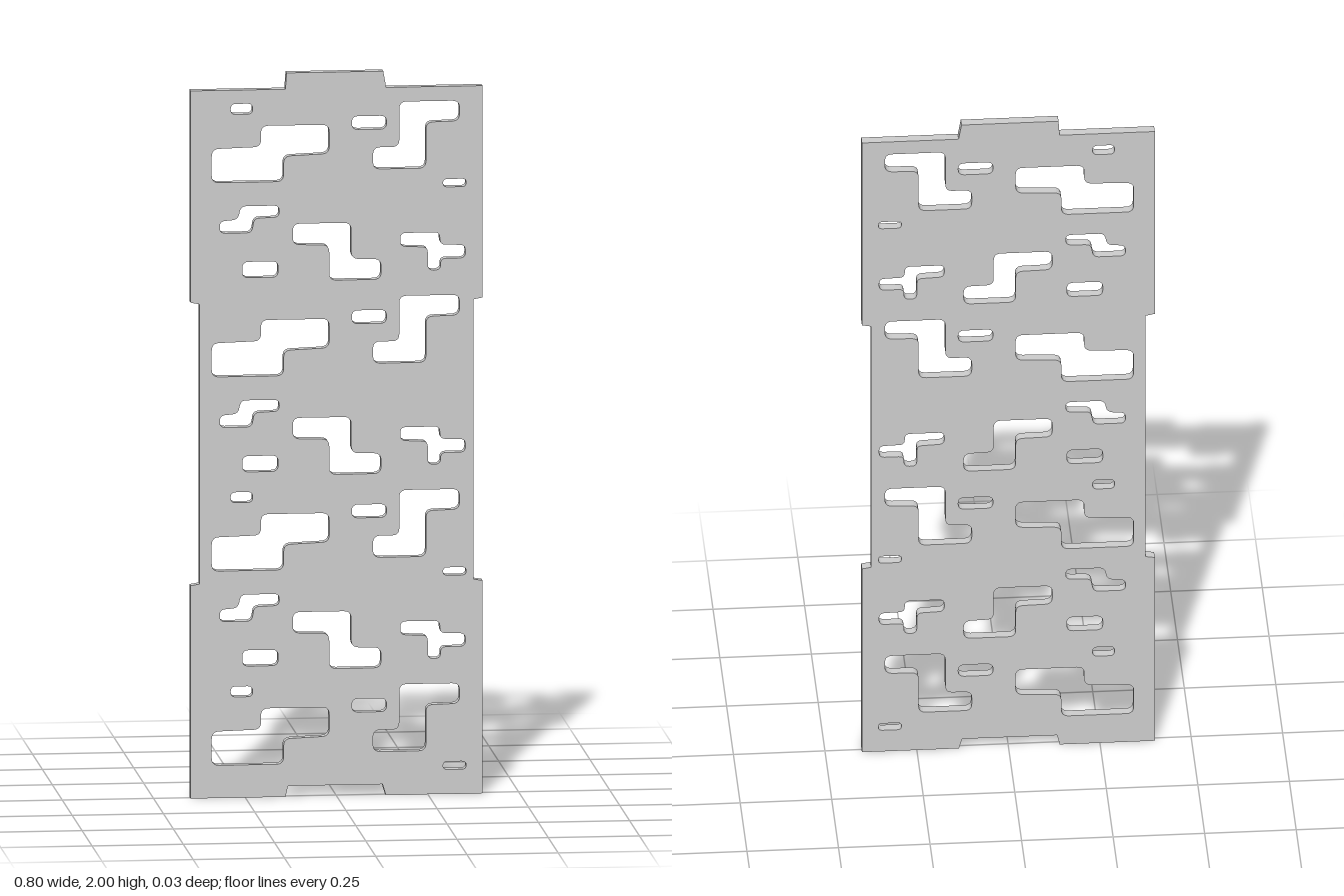
import * as THREE from 'three';

const THICKNESS = 0.028;
const PITCH = 0.5365; // vertical spacing of the repeated cut-outs

// Closed path through the points with softly rounded corners
function roundedPath(points, dy, radius) {
  const path = new THREE.Path();
  const pts = points.map(([x, y]) => new THREE.Vector2(x, y + dy));
  const n = pts.length;
  pts.forEach((p, i) => {
    const prev = pts[(i + n - 1) % n], next = pts[(i + 1) % n];
    const toward = (q) => {
      const d = p.distanceTo(q);
      return p.clone().lerp(q, Math.min(radius, d * 0.45) / d);
    };
    const a = toward(prev), b = toward(next);
    if (i === 0) path.moveTo(a.x, a.y);
    else path.lineTo(a.x, a.y);
    path.quadraticCurveTo(p.x, p.y, b.x, b.y);
  });
  path.closePath();
  return path;
}

const slot = (x0, y0, x1, y1) => [[x0, y0], [x1, y0], [x1, y1], [x0, y1]];

// Cut-outs of the topmost tile, with the rows in which each one recurs
const cutouts = [
  // large step, left
  { rows: [0, 1, 2, 3], r: 0.02, pts: [[-0.342, 1.70], [-0.145, 1.70], [-0.145, 1.77], [-0.02, 1.775],
    [-0.02, 1.855], [-0.207, 1.855], [-0.207, 1.797], [-0.342, 1.793]] },
  // large step, right
  { rows: [0, 1, 2, 3], r: 0.02, pts: [[0.1, 1.73], [0.245, 1.73], [0.245, 1.857], [0.337, 1.859],
    [0.337, 1.915], [0.172, 1.915], [0.172, 1.79], [0.1, 1.79]] },
  // small slots
  { rows: [0, 1, 2, 3], r: 0.017, pts: slot(0.042, 1.84, 0.137, 1.877) },
  { rows: [0, 2, 3], r: 0.014, pts: slot(-0.29, 1.888, -0.23, 1.917) },
  { rows: [0, 2, 3], r: 0.012, pts: slot(0.292, 1.677, 0.355, 1.699) },
  { rows: [0, 1, 2], r: 0.017, pts: slot(-0.258, 1.436, -0.16, 1.48) },
  // small step
  { rows: [0, 1, 2], r: 0.015, pts: [[-0.32, 1.56], [-0.232, 1.56], [-0.226, 1.6], [-0.157, 1.602],
    [-0.157, 1.634], [-0.262, 1.634], [-0.27, 1.597], [-0.32, 1.593]] },
  // central step
  { rows: [0, 1, 2], r: 0.02, pts: [[-0.02, 1.425], [0.122, 1.425], [0.122, 1.481], [0.04, 1.483],
    [0.04, 1.583], [-0.12, 1.583], [-0.12, 1.525], [-0.02, 1.523]] },
  // small branching cut-out
  { rows: [0, 1, 2], r: 0.015, pts: [[0.25, 1.448], [0.285, 1.448], [0.285, 1.48], [0.353, 1.48],
    [0.353, 1.516], [0.283, 1.518], [0.283, 1.552], [0.175, 1.552], [0.175, 1.515], [0.25, 1.512]] },
];

export function createModel() {
  const model = new THREE.Group();
  model.name = 'perforatedPanel';

  // Plate outline: top tab, bottom notch, shallow recess on each side
  const outline = new THREE.Shape([
    [-0.4, 0], [-0.14, 0], [-0.133, 0.03], [0.126, 0.03], [0.135, 0], [0.4, 0],
    [0.4, 0.588], [0.375, 0.592], [0.375, 1.365], [0.4, 1.37], [0.4, 1.955],
    [0.136, 1.955], [0.128, 2], [-0.137, 2], [-0.14, 1.955], [-0.4, 1.955],
    [-0.4, 1.37], [-0.375, 1.365], [-0.375, 0.592], [-0.4, 0.588],
  ].map(([x, y]) => new THREE.Vector2(x, y)));

  for (const { rows, r, pts } of cutouts) {
    for (const row of rows) outline.holes.push(roundedPath(pts, -row * PITCH, r));
  }

  const geometry = new THREE.ExtrudeGeometry(outline, {
    depth: THICKNESS, bevelEnabled: false, curveSegments: 5,
  });
  geometry.translate(0, 0, -THICKNESS / 2);

  const panel = new THREE.Mesh(geometry, new THREE.MeshStandardMaterial({ color: 0xcccccc }));
  panel.name = 'panel';
  model.add(panel);
  return model;
}
